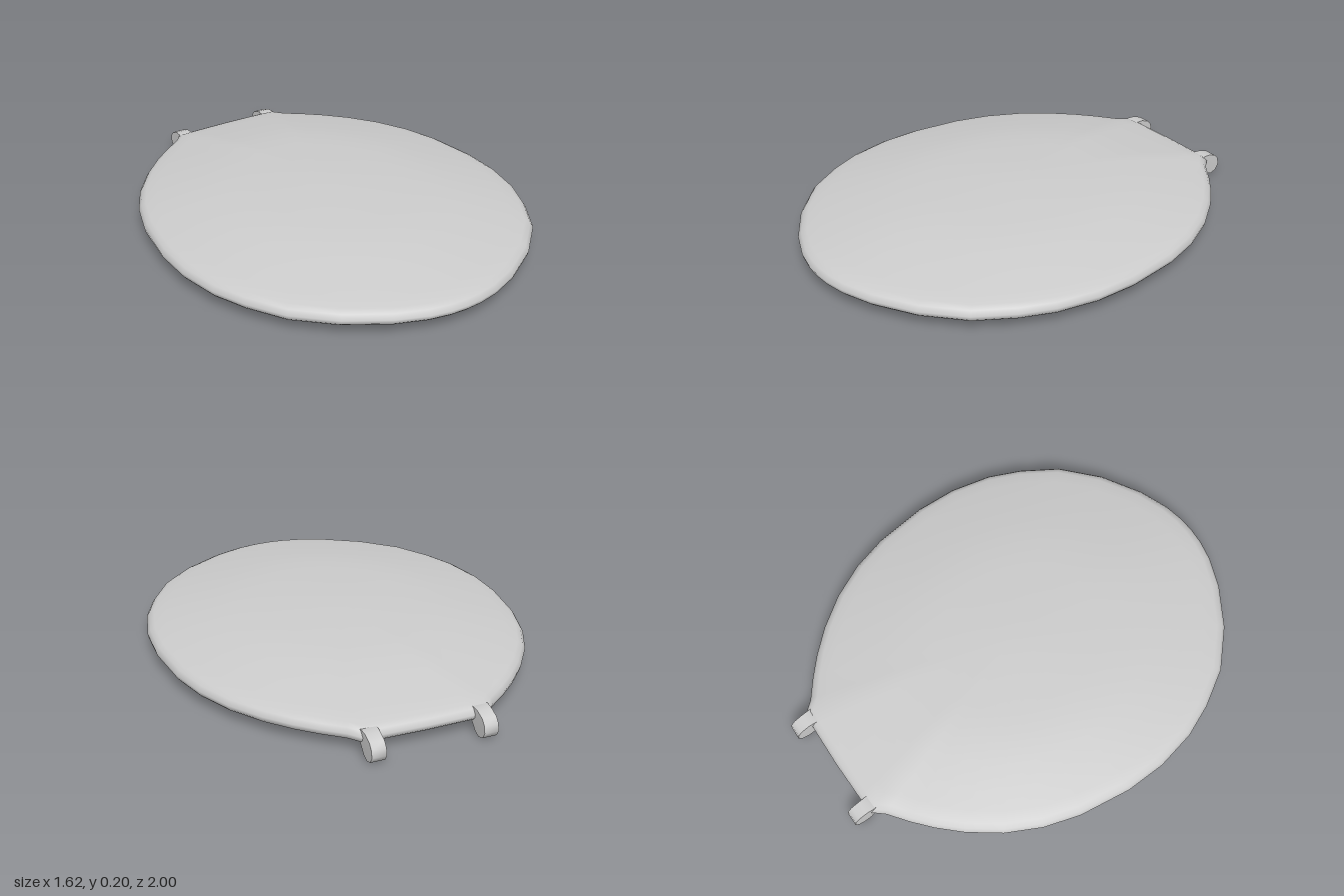
import * as THREE from 'three';
import { toCreasedNormals } from 'three/addons/utils/BufferGeometryUtils.js';

// right half of the lid outline, front tip to back middle: [x, z]
const HALF = [
  [0, 1], [0.07, 0.996], [0.16, 0.978], [0.29, 0.928], [0.46, 0.825], [0.61, 0.685], [0.705, 0.53],
  [0.765, 0.39], [0.803, 0.21], [0.808, 0.03], [0.778, -0.2], [0.73, -0.36], [0.655, -0.51],
  [0.56, -0.64], [0.47, -0.735], [0.39, -0.805], [0.305, -0.87], [0.262, -0.92], [0.19, -0.924], [0, -0.928],
];

// lid section: [outline scale, height], dome top, rolled rim, shallow recess underneath
const SECTION = [
  [0.12, 0.198], [0.25, 0.194], [0.4, 0.187], [0.53, 0.179], [0.65, 0.164], [0.78, 0.145], [0.9, 0.124],
  [0.96, 0.113], [0.985, 0.102], [1, 0.082], [0.996, 0.066], [0.985, 0.055],
  [0.965, 0.053], [0.955, 0.058], [0.95, 0.075], [0.94, 0.08],
  [0.75, 0.088], [0.5, 0.095], [0.25, 0.099],
];

function lidGeometry() {
  const left = HALF.slice(1, -1).reverse().map(([x, z]) => [-x, z]);
  const loop = [...HALF, ...left];
  const n = loop.length;
  const pos = [0, 0.2, 0];
  const index = [];
  for (const [s, y] of SECTION) {
    for (const [x, z] of loop) pos.push(x * s, y, z * s);
  }
  const last = 1 + SECTION.length * n;
  pos.push(0, 0.1, 0);
  for (let i = 0; i < n; i++) {
    const j = (i + 1) % n;
    index.push(0, 1 + i, 1 + j);
    for (let r = 0; r < SECTION.length - 1; r++) {
      const a = 1 + r * n, b = a + n;
      index.push(a + i, b + i, b + j, a + i, b + j, a + j);
    }
    index.push(last - n + i, last, last - n + j);
  }
  const g = new THREE.BufferGeometry();
  g.setAttribute('position', new THREE.Float32BufferAttribute(pos, 3));
  g.setIndex(index);
  g.computeVertexNormals();
  return g;
}

// hinge lug: side profile (back distance, height) extruded across x
const LUG = [
  [0.87, 0.1], [0.9, 0.108], [0.935, 0.106], [0.975, 0.092], [0.995, 0.07], [1, 0.04], [0.985, 0.014],
  [0.955, 0.003], [0.927, 0.012], [0.908, 0.035], [0.89, 0.055], [0.87, 0.062],
];

function hingeGeometry() {
  const shape = new THREE.Shape(LUG.map(([d, y]) => new THREE.Vector2(d, y)));
  const g = new THREE.ExtrudeGeometry(shape, { depth: 0.06, bevelEnabled: false });
  g.rotateY(Math.PI / 2);
  g.translate(-0.03, 0, 0);
  // flare the lug slightly where it grows out of the lid
  const p = g.attributes.position;
  for (let i = 0; i < p.count; i++) {
    p.setX(i, p.getX(i) * (1 + 2 * Math.max(0, p.getZ(i) + 0.94)));
  }
  return toCreasedNormals(g, 0.8);
}

export function createModel() {
  const group = new THREE.Group();
  const mat = new THREE.MeshStandardMaterial({ color: 0xcccccc });

  const lid = new THREE.Mesh(lidGeometry(), mat);
  lid.name = 'lid';
  group.add(lid);

  const hinge = hingeGeometry();
  for (const side of [1, -1]) {
    const m = new THREE.Mesh(hinge, mat);
    m.name = side > 0 ? 'leftHinge' : 'rightHinge';
    m.position.x = side * 0.231;
    group.add(m);
  }
  return group;
}
